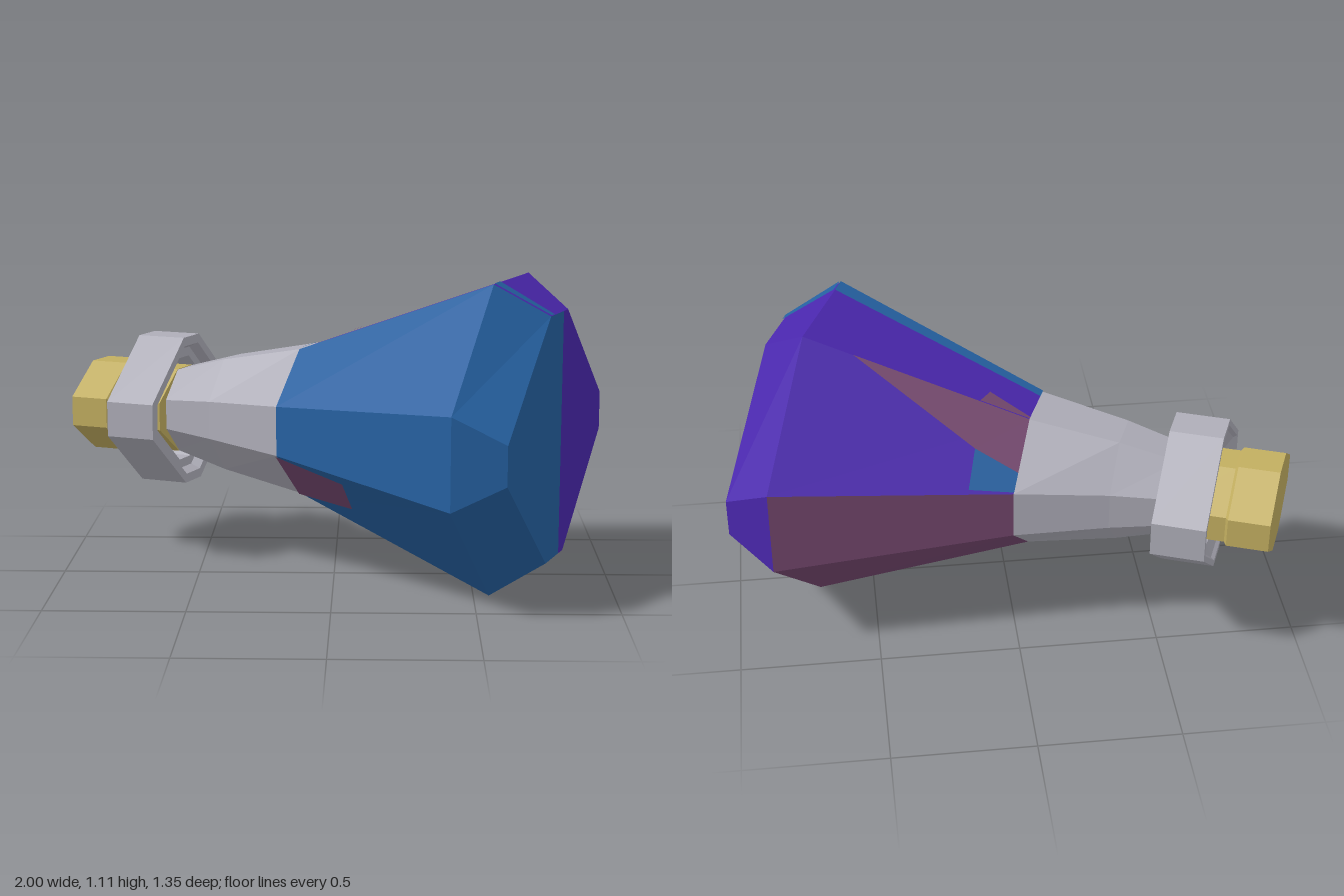
import * as THREE from 'three';

const CY = 0.555;                 // height of the flask axis
const C = Math.cos(Math.PI / 8), S = Math.sin(Math.PI / 8);

// Flask frame (s along the axis, y up, t sideways) to model frame
const place = (s, y, t) => new THREE.Vector3(C * s - S * t, CY + y, S * s + C * t);
const axisT = (s) => -0.12 - 0.04 * s;

// Chamfered eight-sided ring: half width T, half height H, half flats fy and ft
function ring(s, T, H, fy, ft) {
  return [[T, -fy], [T, fy], [ft, H], [-ft, H], [-T, fy], [-T, -fy], [-ft, -H], [ft, -H]]
    .map(([t, y]) => place(s, y, axisT(s) + t));
}

// Flat-shaded geometry from convex polygons
function polys(list) {
  const pos = [];
  for (const p of list)
    for (let i = 1; i < p.length - 1; i++)
      for (const v of [p[0], p[i], p[i + 1]]) pos.push(v.x, v.y, v.z);
  const g = new THREE.BufferGeometry();
  g.setAttribute('position', new THREE.Float32BufferAttribute(pos, 3));
  g.computeVertexNormals();
  return g;
}

const ALL = [0, 1, 2, 3, 4, 5, 6, 7];
const facet = (a, b, i) => [a[i], b[i], b[(i + 1) % 8], a[(i + 1) % 8]];
const band = (a, b, sides = ALL) => sides.map((i) => facet(a, b, i));
const loft = (rings) => rings.slice(1).flatMap((r, i) => band(rings[i], r));

// Thin painted face lying on a facet; u runs along it, v across it
function patch(a, b, i, uv) {
  const [p, q, r, o] = facet(a, b, i);
  const n = q.clone().sub(p).cross(o.clone().sub(p)).normalize().multiplyScalar(0.005);
  return uv.map(([u, v]) =>
    p.clone().lerp(q, u).lerp(o.clone().lerp(r, u), v).add(n));
}

export function createModel() {
  const mat = (name, color) => {
    const m = new THREE.MeshStandardMaterial({ color });
    m.name = name;
    return m;
  };
  const blue = mat('blue', 0x2560a0);
  const purple = mat('purple', 0x4a27ad);
  const plum = mat('plum', 0x75486f);
  const grey = mat('grey', 0xaeadb8);
  const gold = mat('gold', 0xc2ae60);

  const group = new THREE.Group();
  group.name = 'flask';
  const add = (name, list, material, doubleSided) => {
    const m = new THREE.Mesh(polys(list), material);
    if (doubleSided) material.side = THREE.DoubleSide;
    m.name = name;
    group.add(m);
  };

  // Body rings: shoulder, widest ring, base
  const shoulder = ring(-0.15, 0.29, 0.27, 0.09, 0.09);
  const belly = ring(0.62, 0.595, 0.555, 0.163, 0.19);
  const base = ring(0.797, 0.54, 0.442, 0.07, 0.10);
  const seamTop = base[2].clone().lerp(base[3], 0.75);
  const seamBottom = base[7].clone().lerp(base[6], 0.75);

  // Coloured glass, each side with its share of the base
  add('frontGlass', [
    ...band(shoulder, belly, [0, 1, 6, 7]),
    ...band(belly, base, [0, 1, 6, 7]),
    [seamBottom, seamTop, base[2], base[1], base[0], base[7]],
  ], blue);
  add('topGlass', [
    ...band(shoulder, belly, [2, 3]),
    ...band(belly, base, [2, 3, 4, 5]),
    [seamTop, seamBottom, base[6], base[5], base[4], base[3]],
  ], purple);
  add('backGlass', band(shoulder, belly, [4, 5]), plum);

  // Patches where the colours overlap
  const strip = [[0, 0], [1, 0], [1, 0.16], [0, 0.2]];
  add('blueOverlap', [
    patch(shoulder, belly, 2, strip),
    patch(belly, base, 2, [[0, 0], [1, 0], [1, 0.16], [0, 0.16]]),
    patch(shoulder, belly, 3, [[0, 0.72], [0.2, 0.5], [0.19, 0.95], [0, 0.98]]),
  ], blue);
  add('plumOverlap', [
    patch(shoulder, belly, 3, [[0, 0], [0.78, 0], [0.2, 0.5], [0, 0.72]]),
    patch(shoulder, belly, 2, [[0, 0.95], [0.2, 0.7], [0.22, 1], [0, 1]]),
    patch(shoulder, belly, 7, [[0, 0], [0.35, 0.38], [0.38, 0.88], [0, 1]]),
  ], plum);

  // Neck
  add('neck', loft([
    ring(-0.67, 0.15, 0.155, 0.055, 0.055),
    ring(-0.465, 0.195, 0.21, 0.07, 0.07),
    shoulder,
  ]), grey, true);

  // Hollow collar with stepped rims
  const collarRing = (s, k) => ring(s, 0.31 * k, 0.28 * k, 0.065 * k, 0.06 * k);
  add('collar', loft([
    collarRing(-0.79, 0.7), collarRing(-0.81, 0.88), collarRing(-0.822, 0.92),
    collarRing(-0.822, 1), collarRing(-0.635, 1), collarRing(-0.635, 0.88),
    collarRing(-0.67, 0.82), collarRing(-0.67, 0.7), collarRing(-0.79, 0.7),
  ]), grey);

  // Stopper
  const corkRing = (s, k) => ring(s, 0.217 * k, 0.17 * k, 0.055 * k, 0.06 * k);
  const corkEnd = corkRing(-1.025, 1);
  const corkInner = corkRing(-0.665, 0.93);
  add('stopper', [
    corkEnd,
    ...loft([corkEnd, corkRing(-0.88, 1), corkRing(-0.87, 0.93), corkInner]),
    [...corkInner].reverse(),
  ], gold);

  return group;
}
